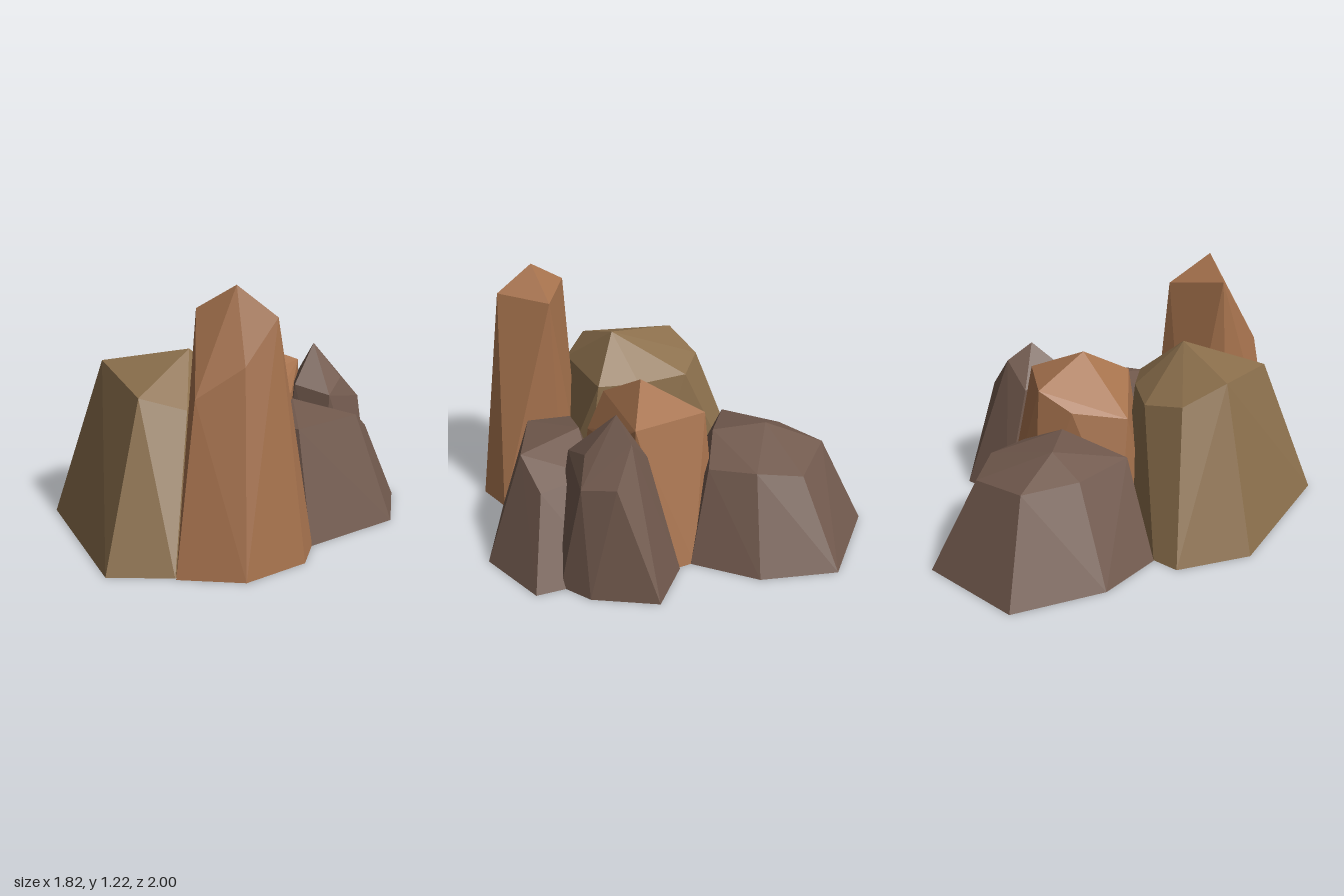
import * as THREE from 'three';
import { ConvexGeometry } from 'three/addons/geometries/ConvexGeometry.js';

const flat = (name, color) => {
  const m = new THREE.MeshStandardMaterial({ color, flatShading: true });
  m.name = name;
  return m;
};

// A faceted boulder: ground outline as [x, z], upper corners as [x, y, z]
function rock(name, material, base, top) {
  const points = [
    ...base.map(([x, z]) => new THREE.Vector3(x, 0, z)),
    ...top.map((p) => new THREE.Vector3(...p)),
  ];
  const mesh = new THREE.Mesh(new ConvexGeometry(points), material);
  mesh.name = name;
  return mesh;
}

export function createModel() {
  const olive = flat('olive stone', 0x8b6f4c);
  const rust = flat('rust stone', 0xa6724d);
  const umber = flat('umber stone', 0x71594d);

  const group = new THREE.Group();
  group.name = 'rockCluster';
  group.add(
    // large block at the front
    rock('frontBoulder', olive,
      [[-0.69, 0.12], [-0.63, 0.49], [0, 1], [0.27, 0.87], [0.38, 0.3], [0.3, 0.08], [0, -0.03], [-0.59, 0.03]],
      [[-0.38, 0.79, 0.41], [0.03, 0.865, 0.29], [0.005, 0.725, 0.71], [0.17, 0.655, 0.57],
        [-0.42, 0.7, 0.19], [-0.27, 0.66, 0.04], [0.0, 0.66, 0.04], [0.2, 0.66, 0.1]]),
    // tall pillar at the front corner
    rock('pillar', rust,
      [[0.28, 0.88], [0.56, 0.77], [0.71, 0.48], [0.67, 0.29], [0.37, 0.19], [0.2, 0.35], [0.15, 0.58]],
      [[0.375, 1.22, 0.5], [0.195, 1.11, 0.53], [0.565, 1.095, 0.49], [0.37, 1.07, 0.285],
        [0.3, 0.765, 0.74], [0.48, 0.9, 0.63]]),
    // low block on the side
    rock('sideBoulder', umber,
      [[0.91, -0.155], [0.81, -0.51], [0.67, 0.305], [0.3, 0.28], [0.2, -0.1], [0.45, -0.55]],
      [[0.55, 0.515, 0.19], [0.4, 0.57, -0.1], [0.715, 0.52, -0.14], [0.7, 0.41, -0.34],
        [0.33, 0.5, 0.17], [0.45, 0.45, -0.35]]),
    // pointed block at the back
    rock('backPeak', umber,
      [[0.345, -0.825], [0.605, -0.65], [0.685, -0.5], [0.68, -0.38], [0.53, -0.23], [0.3, -0.22], [0.135, -0.63]],
      [[0.37, 0.78, -0.45], [0.36, 0.69, -0.58], [0.35, 0.6, -0.25], [0.525, 0.615, -0.445],
        [0.53, 0.56, -0.27], [0.59, 0.5, -0.54], [0.47, 0.525, -0.655], [0.24, 0.56, -0.5]]),
    // rounded block in the middle
    rock('middleBoulder', rust,
      [[-0.33, -0.09], [-0.15, -0.5], [0.05, -0.62], [0.13, -0.62], [0.3, -0.48], [0.34, -0.2], [0.33, 0.05], [-0.1, 0.1]],
      [[0.12, 0.805, -0.205], [-0.09, 0.69, -0.45], [0.28, 0.68, -0.46], [0.2, 0.665, 0.04],
        [-0.18, 0.6, -0.3], [-0.2, 0.56, -0.03], [0.32, 0.55, -0.28], [0.31, 0.5, 0]]),
    // broad low block at the back
    rock('backBoulder', umber,
      [[-0.505, -1], [-0.15, -0.88], [0.07, -0.62], [-0.91, -0.66], [-0.81, -0.225], [-0.595, 0.03], [-0.4, 0.03], [0, -0.2]],
      [[-0.44, 0.415, -0.77], [-0.23, 0.445, -0.695], [-0.69, 0.455, -0.58], [-0.62, 0.46, -0.315],
        [-0.46, 0.54, -0.42], [-0.43, 0.47, -0.07], [-0.07, 0.43, -0.53], [-0.2, 0.53, -0.35]]),
  );
  return group;
}
